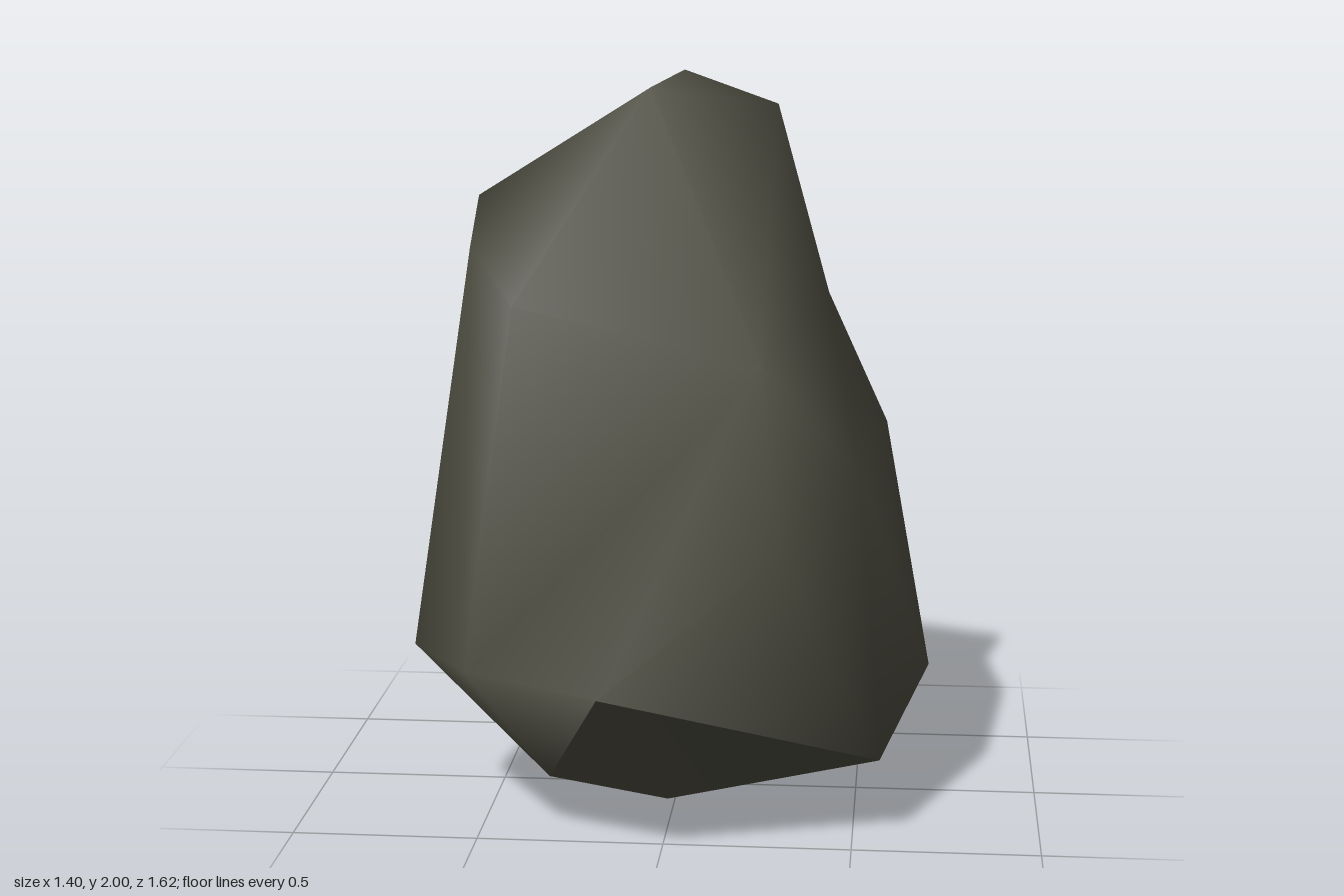
import * as THREE from 'three';
import { ConvexGeometry } from 'three/addons/geometries/ConvexGeometry.js';

// Corners of the boulder, from the peak down to the base
const CORNERS = [
  // hollow above the belly
  [0.4, 1.37, -0.28], [0.25, 1.27, 0.38],
  // peak
  [0, 2, -0.17], [-0.07, 1.97, 0.07], [0.26, 1.91, -0.15], [-0.06, 1.82, -0.37],
  // shoulder
  [-0.52, 1.69, 0.18], [-0.51, 1.58, 0.4], [-0.38, 1.45, 0.55],
  // belly
  [0.32, 0.86, 0.73], [0.51, 1, 0.41], [0.57, 1.02, -0.19], [-0.35, 0.67, -0.6],
  [0.09, 0.69, -0.81], [0.53, 0.67, -0.64], [-0.68, 0.62, -0.16],
  // lower rim
  [-0.14, 0.49, 0.81], [-0.5, 0.51, 0.66], [-0.7, 0.47, 0.27], [0.7, 0.3, -0.23],
  // underside
  [0.57, 0.22, 0.41], [-0.53, 0.22, -0.2], [-0.31, 0.16, 0.44], [0.41, 0.02, -0.36], [-0.02, 0, 0.14],
].map((p) => new THREE.Vector3(...p));
const HOLLOW_CORNERS = 2;
const FRONT_SHOULDER = 8, FRONT_BELLY = 9, FRONT_RIM = 16;

// Inflate the corners to a convex shell; the hollow ones bulge most, so that
// the edges around them run into the hollow instead of bridging it
function inflate(p, i) {
  const d = p.clone().sub(new THREE.Vector3(0, 0.85, 0)).divide(new THREE.Vector3(0.7, 1.05, 0.8));
  return d.multiplyScalar(Math.pow(d.length(), -0.6) * (i < HOLLOW_CORNERS ? 1.12 : 1));
}

// Triangles of the shell, as corner numbers
function shellTriangles() {
  const shell = CORNERS.map(inflate);
  const position = new ConvexGeometry(shell).attributes.position;
  const v = new THREE.Vector3();
  const triangles = [];
  for (let i = 0; i < position.count; i++) {
    v.fromBufferAttribute(position, i);
    let nearest = 0;
    shell.forEach((s, k) => {
      if (s.distanceToSquared(v) < shell[nearest].distanceToSquared(v)) nearest = k;
    });
    if (i % 3 === 0) triangles.push([]);
    triangles[triangles.length - 1].push(nearest);
  }
  return triangles;
}

// Swap the edge between two triangles for their other diagonal
function flipEdge(triangles, a, b) {
  const shared = triangles.filter((t) => t.includes(a) && t.includes(b));
  if (shared.length !== 2) return;
  const [p, q] = shared.map((t) => t.find((k) => k !== a && k !== b));
  const forward = shared[0][(shared[0].indexOf(a) + 1) % 3] === b;
  const [c, d] = forward ? [p, q] : [q, p];
  triangles[triangles.indexOf(shared[0])] = [a, d, c];
  triangles[triangles.indexOf(shared[1])] = [d, b, c];
}

// The flat cut under the front has a hard edge
function isCut(triangle) {
  const n = new THREE.Triangle(...triangle.map((k) => CORNERS[k])).getNormal(new THREE.Vector3());
  return n.y < -0.74 && n.z > 0.5;
}

// Smooth surface over some of the triangles
function stonePart(name, triangles, material) {
  const geometry = new THREE.BufferGeometry().setFromPoints(CORNERS);
  geometry.setIndex(triangles.flat());
  geometry.computeVertexNormals();
  const mesh = new THREE.Mesh(geometry, material);
  mesh.name = name;
  return mesh;
}

export function createModel() {
  const group = new THREE.Group();
  group.name = 'rock';
  const stone = new THREE.MeshStandardMaterial({ color: 0x4d4c40 });
  stone.name = 'dark stone';
  const triangles = shellTriangles();
  // Let the hollow run down the front
  flipEdge(triangles, FRONT_SHOULDER, FRONT_BELLY);
  flipEdge(triangles, FRONT_SHOULDER, FRONT_RIM);
  group.add(
    stonePart('boulder', triangles.filter((t) => !isCut(t)), stone),
    stonePart('flatCut', triangles.filter(isCut), stone),
  );
  return group;
}
